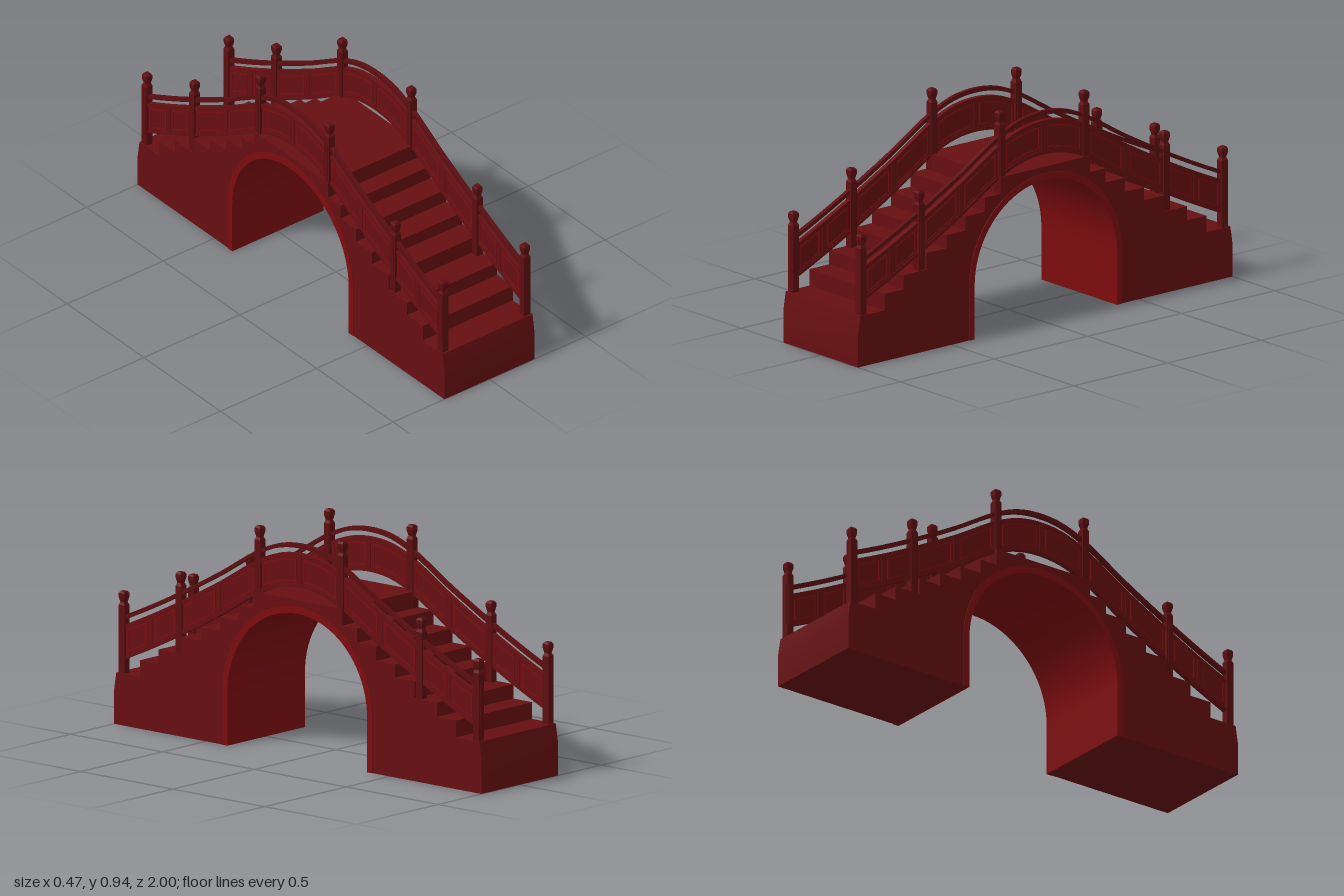
import * as THREE from 'three';
import { toCreasedNormals } from 'three/addons/utils/BufferGeometryUtils.js';

const red = new THREE.MeshStandardMaterial({ color: 0x660f11 });
const trimRed = new THREE.MeshStandardMaterial({ color: 0x7c0c0f });
const postRed = new THREE.MeshStandardMaterial({ color: 0x5c0d10, flatShading: true });

const RAIL_X = 0.2125;

// Extrudes a side profile of [z, y] points across the bridge, centred on x.
function acrossX(points, width, x = 0) {
  const shape = new THREE.Shape(points.map(([z, y]) => new THREE.Vector2(z, y)));
  const geo = new THREE.ExtrudeGeometry(shape, { depth: width, bevelEnabled: false });
  geo.translate(0, 0, -width / 2).rotateY(-Math.PI / 2).translate(x, 0, 0);
  return toCreasedNormals(geo, 0.5);
}

function add(parent, name, geo, material) {
  const mesh = new THREE.Mesh(geo, material);
  mesh.name = name;
  parent.add(mesh);
  return mesh;
}

// Outline of a round arch on straight legs, from +z foot to -z foot.
function archLine(radius, springY = 0.225, n = 40) {
  const pts = [[radius, 0]];
  for (let i = 0; i <= n; i++) {
    const a = (Math.PI * i) / n;
    pts.push([radius * Math.cos(a), springY + radius * Math.sin(a)]);
  }
  pts.push([-radius, 0]);
  return pts;
}

// Centre line of the balustrade: y as a smooth function of z.
const half = [[0.99, 0.329], [0.81, 0.41], [0.655, 0.486], [0.44, 0.6], [0.225, 0.725], [0.11, 0.768]];
const spine = new THREE.CatmullRomCurve3(
  [...half, [0, 0.78], ...half.map(([z, y]) => [-z, y]).reverse()].map(([z, y]) => new THREE.Vector3(0, y, z))
);
const spinePoints = spine.getPoints(240);
function spineY(z) {
  const i = Math.max(1, spinePoints.findIndex((p) => p.z <= z));
  const a = spinePoints[i - 1], b = spinePoints[i];
  return THREE.MathUtils.mapLinear(z, a.z, b.z, a.y, b.y);
}

// A strip following the centre line between two vertical offsets.
function strip(z0, z1, low, high, width, x) {
  const n = Math.max(1, Math.ceil(Math.abs(z1 - z0) / 0.03));
  const lower = [], upper = [];
  for (let i = 0; i <= n; i++) {
    const z = z0 + ((z1 - z0) * i) / n;
    lower.push([z, spineY(z) + low]);
    upper.push([z, spineY(z) + high]);
  }
  return acrossX([...lower, ...upper.reverse()], width, x);
}

// Square post with a flared head and a raised plate on each face.
function makePost(bottom, top) {
  const post = new THREE.Group();
  post.name = 'post';
  const profile = [
    [0, bottom], [0.016, bottom], [0.016, top - 0.058], [0.012, top - 0.049], [0.0105, top - 0.045],
    [0.0155, top - 0.024], [0.0155, top - 0.008], [0.011, top], [0, top],
  ].map(([r, y]) => new THREE.Vector2(r * Math.SQRT2, y));
  add(post, 'postShaft', new THREE.LatheGeometry(profile, 4, Math.PI / 4), postRed);
  const y0 = bottom + 0.06, y1 = top - 0.095;
  for (const [w, d] of [[0.018, 0.0345], [0.0345, 0.018]]) {
    const plate = new THREE.BoxGeometry(w, y1 - y0, d).translate(0, (y0 + y1) / 2, 0);
    add(post, 'postPlate', plate, postRed);
  }
  return post;
}

export function createModel() {
  const bridge = new THREE.Group();
  bridge.name = 'archBridge';

  // Stepped body with the arch cut out of its underside
  const risers = [[0.86, 0.285], [0.757, 0.345], [0.635, 0.415], [0.528, 0.47], [0.425, 0.53], [0.322, 0.59], [0.24, 0.66]];
  const flight = [[1, 0], [1, 0.14], [0.988, 0.215]];
  let level = 0.215;
  for (const [z, y] of risers) {
    flight.push([z, level], [z, y]);
    level = y;
  }
  const farFlight = flight.map(([z, y]) => [-z, y]).reverse();
  add(bridge, 'steppedBody', acrossX([...flight, ...farFlight, ...archLine(0.39).reverse()], 0.468), red);

  // Trim lining the arch
  const ring = [...archLine(0.408), ...archLine(0.38).reverse()];
  add(bridge, 'archTrim', acrossX(ring, 0.474), trimRed);

  // Balustrades on both sides
  const posts = [[0.965, 0.21, 0.555], [0.655, 0.34, 0.68], [0.225, 0.59, 0.935]];
  const postZ = [0.965, 0.655, 0.225, -0.225, -0.655, -0.965];
  for (const side of [1, -1]) {
    const x = side * RAIL_X;
    const rail = new THREE.Group();
    rail.name = side > 0 ? 'leftBalustrade' : 'rightBalustrade';
    bridge.add(rail);

    for (const [z, bottom, top] of posts) {
      for (const end of [1, -1]) {
        const post = makePost(bottom, top);
        post.position.set(x, 0, z * end);
        rail.add(post);
      }
    }
    add(rail, 'handrail', strip(0.965, -0.965, 0.094, 0.112, 0.018, x), postRed);
    add(rail, 'panel', strip(0.965, -0.965, -0.068, 0.068, 0.014, x), red);
    add(rail, 'panelTopEdge', strip(0.965, -0.965, 0.056, 0.072, 0.02, x), red);
    add(rail, 'panelBottomEdge', strip(0.965, -0.965, -0.072, -0.056, 0.02, x), red);

    // Two framed fields in each bay, parted by a divider
    for (let i = 0; i < postZ.length - 1; i++) {
      const a = postZ[i] - 0.016, b = postZ[i + 1] + 0.016, mid = (a + b) / 2;
      add(rail, 'panelDivider', strip(mid + 0.009, mid - 0.009, -0.058, 0.058, 0.02, x), red);
      for (const [from, to] of [[a - 0.012, mid + 0.021], [mid - 0.021, b + 0.012]]) {
        add(rail, 'fieldTop', strip(from, to, 0.042, 0.047, 0.018, x), trimRed);
        add(rail, 'fieldBottom', strip(from, to, -0.047, -0.042, 0.018, x), trimRed);
        add(rail, 'fieldEnd', strip(from, from - 0.005, -0.047, 0.047, 0.018, x), trimRed);
        add(rail, 'fieldEnd', strip(to + 0.005, to, -0.047, 0.047, 0.018, x), trimRed);
      }
    }
  }
  return bridge;
}
